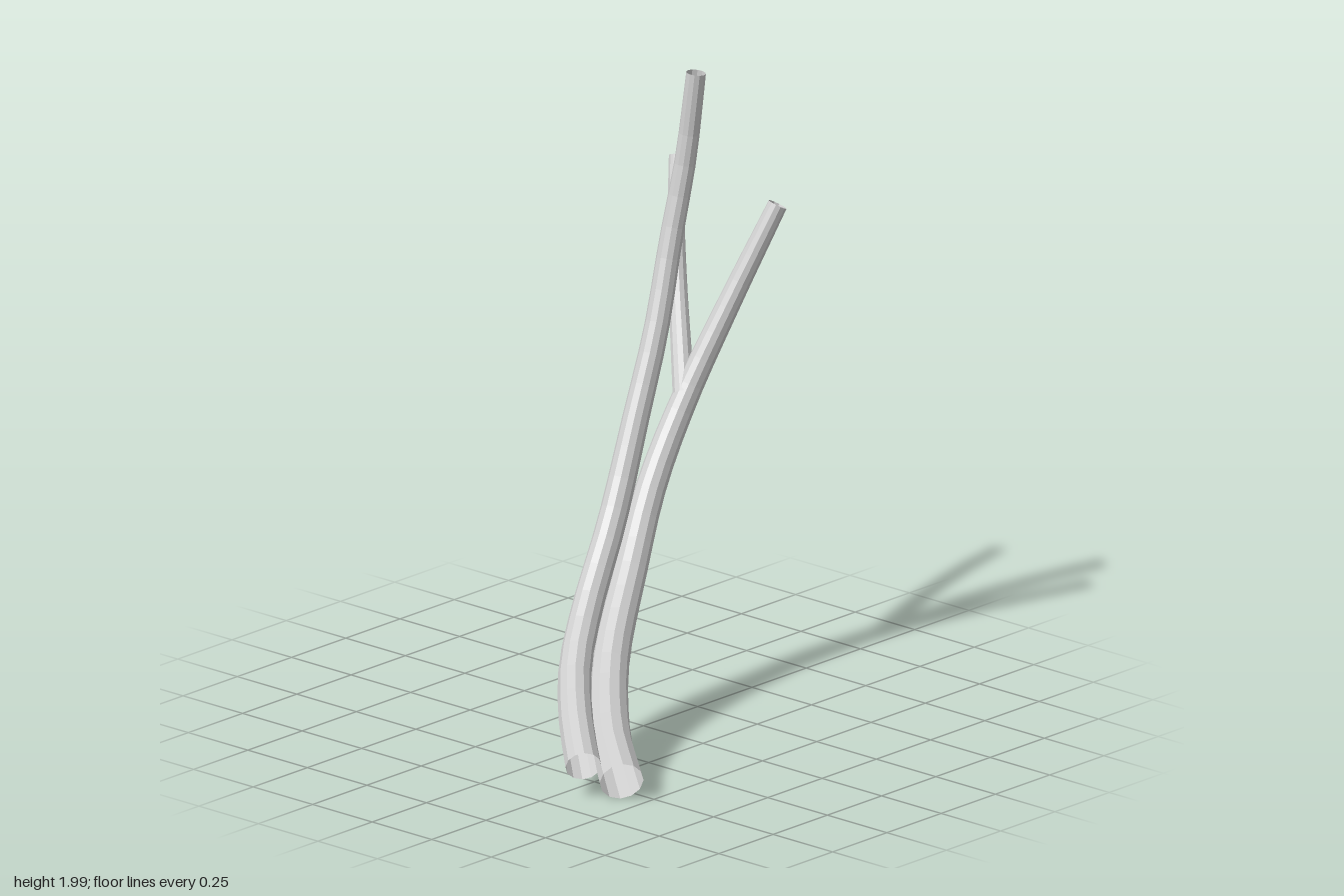
import * as THREE from 'three';

// Open tube along a curve, narrowing evenly from r0 to r1
function taperedTube(name, points, r0, r1, segments, sides, material) {
  const curve = new THREE.CatmullRomCurve3(points.map((p) => new THREE.Vector3(...p)));
  const geometry = new THREE.TubeGeometry(curve, segments, 1, sides, false);
  const position = geometry.attributes.position;
  const v = new THREE.Vector3();
  for (let i = 0; i <= segments; i++) {
    const t = i / segments;
    const centre = curve.getPointAt(t);
    const radius = THREE.MathUtils.lerp(r0, r1, t);
    for (let j = 0; j <= sides; j++) {
      const k = i * (sides + 1) + j;
      v.fromBufferAttribute(position, k).sub(centre).multiplyScalar(radius).add(centre);
      position.setXYZ(k, v.x, v.y, v.z);
    }
  }
  geometry.computeVertexNormals();
  const mesh = new THREE.Mesh(geometry, material);
  mesh.name = name;
  return mesh;
}

export function createModel() {
  const group = new THREE.Group();
  group.name = 'branches';
  const bark = new THREE.MeshStandardMaterial({
    name: 'paleGrey', color: 0xcccccc, flatShading: true, side: THREE.DoubleSide,
  });

  // Tall front stem
  group.add(taperedTube('tallStem', [
    [0.34, 0.115, 0.65], [0.2, 0.2, 0.53], [0.06, 0.31, 0.38], [-0.04, 0.45, 0.21],
    [-0.105, 0.66, 0.03], [-0.15, 0.95, -0.13], [-0.175, 1.2, -0.25],
    [-0.203, 1.47, -0.35], [-0.2, 1.72, -0.415], [-0.18, 1.995, -0.44],
  ], 0.056, 0.031, 24, 12, bark));

  // Thicker stem leaning to the back
  group.add(taperedTube('backStem', [
    [0.437, 0.07, 0.58], [0.27, 0.15, 0.45], [0.08, 0.295, 0.24], [-0.055, 0.505, 0],
    [-0.13, 0.72, -0.18], [-0.15, 0.95, -0.35], [-0.11, 1.23, -0.51], [-0.038, 1.54, -0.66],
  ], 0.069, 0.031, 24, 12, bark));

  // Thin side twig forking off the back stem
  group.add(taperedTube('sideTwig', [
    [-0.15, 0.97, -0.35], [-0.225, 1.09, -0.42], [-0.32, 1.24, -0.51],
    [-0.41, 1.43, -0.6], [-0.472, 1.6, -0.67],
  ], 0.035, 0.024, 14, 12, bark));

  return group;
}
